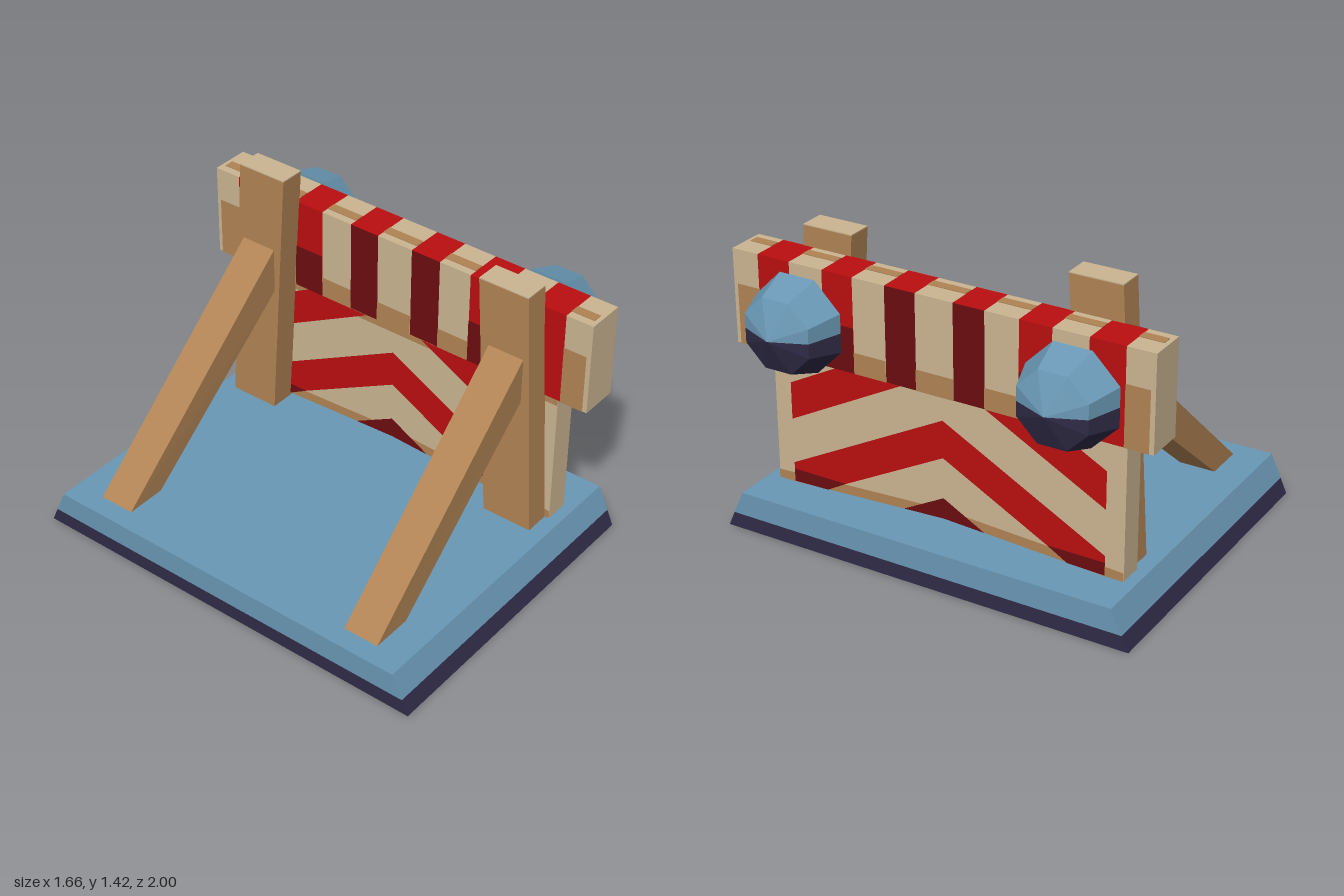
import * as THREE from 'three';

const mat = (name, color, side = THREE.FrontSide) => {
  const m = new THREE.MeshStandardMaterial({ color, side });
  m.name = name;
  return m;
};

// Flat-faced skin over a list of rings, with optional end caps for four-point rings
function loft(rings, { closed = true, top = false, bottom = false } = {}) {
  const pos = [];
  const quad = (a, b, c, d) => pos.push(...a, ...b, ...c, ...a, ...c, ...d);
  for (let r = 0; r < rings.length - 1; r++) {
    const a = rings[r], b = rings[r + 1], n = a.length;
    for (let i = 0; i < (closed ? n : n - 1); i++) {
      const j = (i + 1) % n;
      quad(a[i], a[j], b[j], b[i]);
    }
  }
  if (top) quad(...rings[rings.length - 1]);
  if (bottom) quad(...[...rings[0]].reverse());
  const g = new THREE.BufferGeometry();
  g.setAttribute('position', new THREE.Float32BufferAttribute(pos, 3));
  g.computeVertexNormals();
  return g;
}

// Horizontal rectangle as a ring
const rect = (x0, x1, z0, z1, y) => [[x1, y, z1], [x1, y, z0], [x0, y, z0], [x0, y, z1]];

export function createModel() {
  const root = new THREE.Group();
  const model = new THREE.Group();
  model.name = 'bufferStop';
  root.add(model);

  const blue = mat('steelBlue', 0x6a98b5, THREE.DoubleSide);
  const navy = mat('darkNavy', 0x2f2b47, THREE.DoubleSide);
  const light = mat('paleWood', 0xcbb592);
  const brown = mat('brownWood', 0xb08354);
  const red = mat('red', 0xba0e10);
  const darkRed = mat('darkRed', 0x6b0c10);

  const add = (name, geo, m, parent = model) => {
    const mesh = new THREE.Mesh(geo, m);
    mesh.name = name;
    parent.add(mesh);
    return mesh;
  };

  // Hollow base, open underneath, with sloping ends
  const baseRing = (y) => {
    const z = THREE.MathUtils.lerp(0.99, 0.908, y / 0.18);
    return rect(-0.82, 0.693, -z, z, y);
  };
  add('baseSkirt', loft([baseRing(0), baseRing(0.07)]), navy);
  add('baseDeck', loft([baseRing(0.07), baseRing(0.18)], { top: true }), blue);

  // Leaning posts with diagonal braces; their feet pass through the deck
  for (const [s, h, side] of [[1, 1.35, 'left'], [-1, 1.415, 'right']]) {
    const span = (x0, x1, a, b, y) => rect(x0, x1, Math.min(s * a, s * b), Math.max(s * a, s * b), y);
    const caps = { top: true, bottom: true };
    add(side + 'Post', loft([span(0.25, 0.368, 0.595, 0.835, 0.16), span(0.25, 0.368, 0.515, 0.758, h)], caps), brown);
    add(side + 'PostTop', loft([span(0.25, 0.368, 0.515, 0.758, h), span(0.25, 0.368, 0.515, 0.758, h + 0.005)], { top: true }), light);

    const foot = span(-0.755, -0.565, 0.592, 0.762, 0.155);
    const head = span(0.26, 0.26, 0.577, 0.75, 0).map(([x, , z], i) => [x, i < 2 ? 0.84 : 1.055, z]);
    add(side + 'Brace', loft([foot, head], caps), brown);

    for (const [name, x0, x1, a, b] of [['PostFoot', 0.275, 0.343, 0.63, 0.8], ['BraceFoot', -0.72, -0.6, 0.617, 0.737]])
      add(side + name, loft([span(x0, x1, a, b, 0.15), span(x0, x1, a, b, 0.158)], { bottom: true }), navy);
  }

  // Lower board with a shallow arched bottom edge
  const shape = (pts) => new THREE.Shape(pts.map(([u, v]) => new THREE.Vector2(u, v)));
  const mirror = (half) => [...half, ...half.map(([u, v]) => [-u, v]).reverse()];
  const x0 = 0.372, x1 = 0.487;
  const board = add('lowerBoard', new THREE.ExtrudeGeometry(
    shape(mirror([[0, 0.22], [0.5, 0.195], [0.855, 0.172], [0.855, 0.84]])),
    { depth: x1 - x0, bevelEnabled: false }), light);
  board.rotation.y = Math.PI / 2;
  board.position.x = x0;

  // Flat paint on the front and back of a panel; layer lifts one coat over another
  const paint = (name, pts, m, back, front, layer) => {
    for (const s of [1, -1]) {
      const p = add(name, new THREE.ShapeGeometry(shape(pts)), m);
      p.rotation.y = s * Math.PI / 2;
      p.position.x = s > 0 ? front + layer * 0.003 : back - layer * 0.003;
    }
  };
  const onBoard = (name, pts, m, layer) => paint(name, pts, m, x0, x1, layer);
  onBoard('boardTopWear', mirror([[0.855, 0.79], [0.855, 0.82]]), brown, 1);
  onBoard('boardBottomWear', mirror([[0, 0.22], [0.5, 0.195], [0.855, 0.175], [0.855, 0.22], [0.5, 0.24], [0, 0.265]]), brown, 1);
  onBoard('middleChevron', mirror([[0, 0.51], [0.5, 0.245], [0.77, 0.245], [0.77, 0.277], [0, 0.685]]), red, 2);
  onBoard('lowerChevron', [[-0.2, 0.212], [0, 0.222], [0.2, 0.212], [0, 0.32]], darkRed, 2);
  for (const s of [1, -1]) {
    const flip = (pts) => pts.map(([u, v]) => [s * u, v]);
    onBoard('upperChevron', flip([[0.77, 0.49], [0.77, 0.665], [0.477, 0.82], [0.15, 0.82]]), red, 2);
    onBoard('chevronFoot', flip([[0.5, 0.245], [0.595, 0.19], [0.77, 0.185], [0.77, 0.245]]), darkRed, 2);
  }

  // Striped cross beam, built from alternating blocks
  const bx0 = 0.365, bx1 = 0.546, by0 = 0.823, by1 = 1.257;
  const half = [0.09, 0.237, 0.395, 0.545, 0.71, 0.87, 1];
  const cuts = [...half.map((v) => -v).reverse(), ...half];
  const beam = new THREE.Group();
  beam.name = 'crossBeam';
  model.add(beam);
  for (let i = 0; i < cuts.length - 1; i++) {
    const a = cuts[i], b = cuts[i + 1], mid = (a + b) / 2, c = Math.abs(mid);
    const isRed = i % 2 === 1;
    const face = isRed ? (c < 0.3 ? darkRed : red) : light;
    const topMat = isRed ? red : light;
    // Material order: +x, -x, top, bottom, +z, -z
    const block = add(isRed ? 'redStripe' : 'paleStripe',
      new THREE.BoxGeometry(bx1 - bx0, by1 - by0, b - a),
      [face, face, topMat, isRed ? darkRed : brown, topMat, topMat], beam);
    block.position.set((bx0 + bx1) / 2, (by0 + by1) / 2, mid);

    // Worn areas at the foot of each block and along the top
    const wearTop = c > 0.9 ? 1.1 : isRed ? 1.03 : 0.92;
    const [w0, w1] = c > 0.9 ? (mid > 0 ? [a, b - 0.02] : [a + 0.02, b]) : [a, b];
    if (face !== darkRed && !(isRed && c > 0.6))
      paint('beamWear', [[-w1, by0], [-w0, by0], [-w0, wearTop], [-w1, wearTop]], isRed ? darkRed : brown, bx0, bx1, 1);
    if (!isRed) {
      const strip = add('beamTopWear', new THREE.BoxGeometry(0.045, 0.004, w1 - w0), brown, beam);
      strip.position.set(0.425, by1 + 0.001, (w0 + w1) / 2);
    }
  }

  // Faceted eight-sided bumpers, navy on the lower half
  const profile = [[0.597, 0], [0.597, 0.227], [0.752, 0.172], [0.819, 0]];
  const degrees = [0, 22.5, 67.5, 112.5, 157.5, 180];
  const bumperHalf = (start) => loft(profile.map(([x, r]) => degrees.map((d) => {
    const t = THREE.MathUtils.degToRad(d + start);
    const k = d % 180 === 0 ? r * Math.cos(Math.PI / 8) : r;
    return [x, k * Math.sin(t), -k * Math.cos(t)];
  })), { closed: false });
  for (const [side, z] of [['left', 0.632], ['right', -0.665]]) {
    const bumper = new THREE.Group();
    bumper.name = side + 'Bumper';
    bumper.position.set(0, 1.02, z);
    add('bumperUpper', bumperHalf(0), blue, bumper);
    add('bumperLower', bumperHalf(180), navy, bumper);
    model.add(bumper);
  }

  // The whole structure stands very slightly askew
  model.rotation.y = 0.01;
  return root;
}
